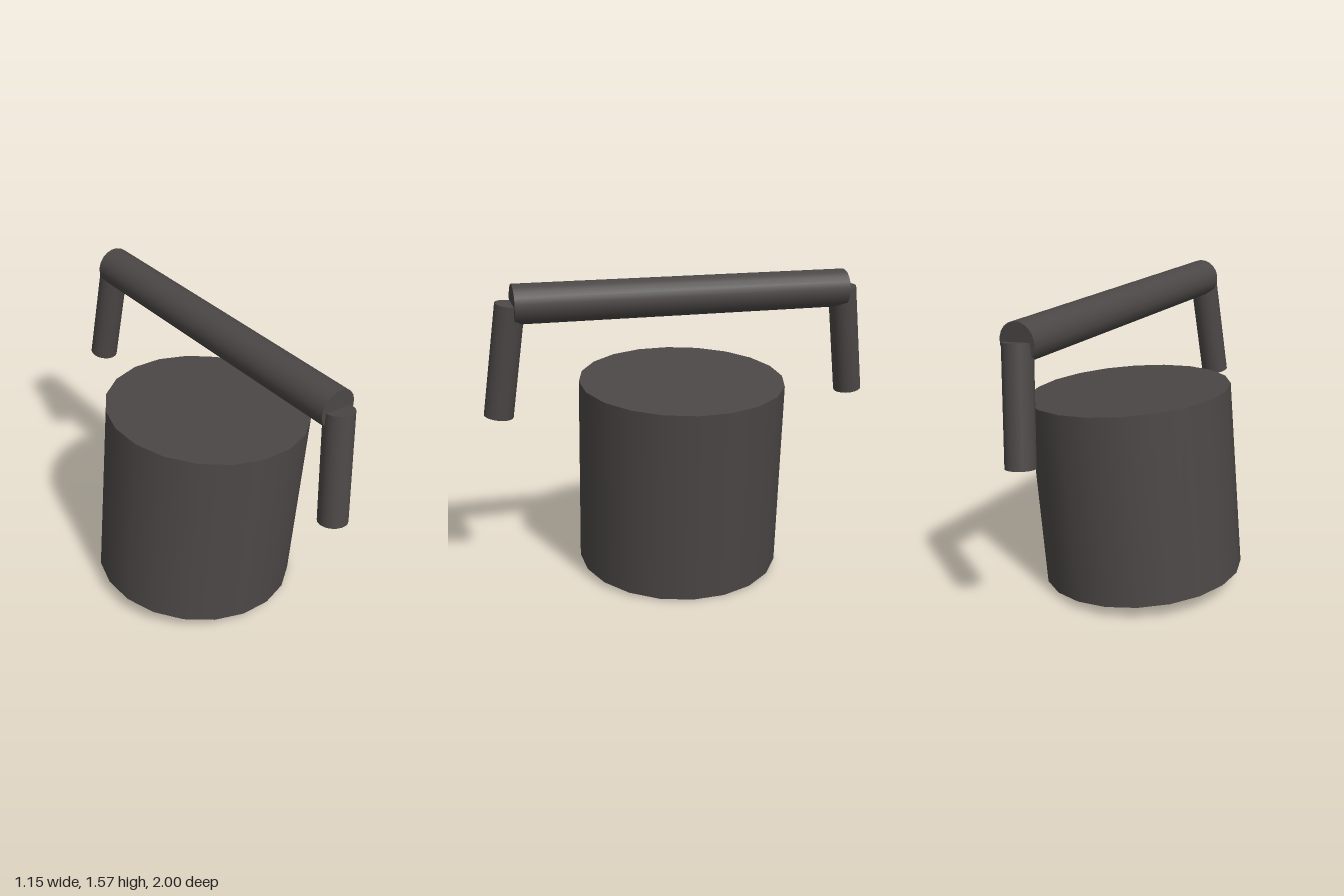
import * as THREE from 'three';

const UP = new THREE.Vector3(0, 1, 0);

// Solid round bar between two end centres, with a small twist about its own axis
function bar(name, from, to, radius, material, twist = 0) {
  const a = new THREE.Vector3(...from);
  const b = new THREE.Vector3(...to);
  const axis = b.clone().sub(a);
  const geometry = new THREE.CylinderGeometry(radius, radius, axis.length(), 20);
  geometry.rotateY(twist);
  const mesh = new THREE.Mesh(geometry, material);
  mesh.name = name;
  mesh.position.copy(a).add(b).multiplyScalar(0.5);
  mesh.quaternion.setFromUnitVectors(UP, axis.normalize());
  return mesh;
}

export function createModel() {
  const group = new THREE.Group();
  group.name = 'tiltedDrumWithHandle';

  const darkGrey = new THREE.MeshStandardMaterial({ color: 0x4b4746 });
  darkGrey.name = 'darkGrey';

  // Leaning drum
  group.add(bar('drum', [-0.047, 0.055, 0.012], [0.047, 1.043, -0.002], 0.529, darkGrey, 0.035));

  // Handle: level crossbar with a splayed leg at each end
  const handle = new THREE.Group();
  handle.name = 'handle';
  const frontEnd = [0.236, 1.48, 0.837];
  const backEnd = [-0.066, 1.48, -0.861];
  handle.add(
    bar('crossbar', backEnd, frontEnd, 0.0975, darkGrey),
    bar('frontLeg', [0.198, 0.92, 0.927], [0.237, 1.482, 0.847], 0.073, darkGrey),
    bar('backLeg', [-0.132, 0.92, -0.927], [-0.066, 1.482, -0.858], 0.073, darkGrey)
  );
  group.add(handle);

  return group;
}
